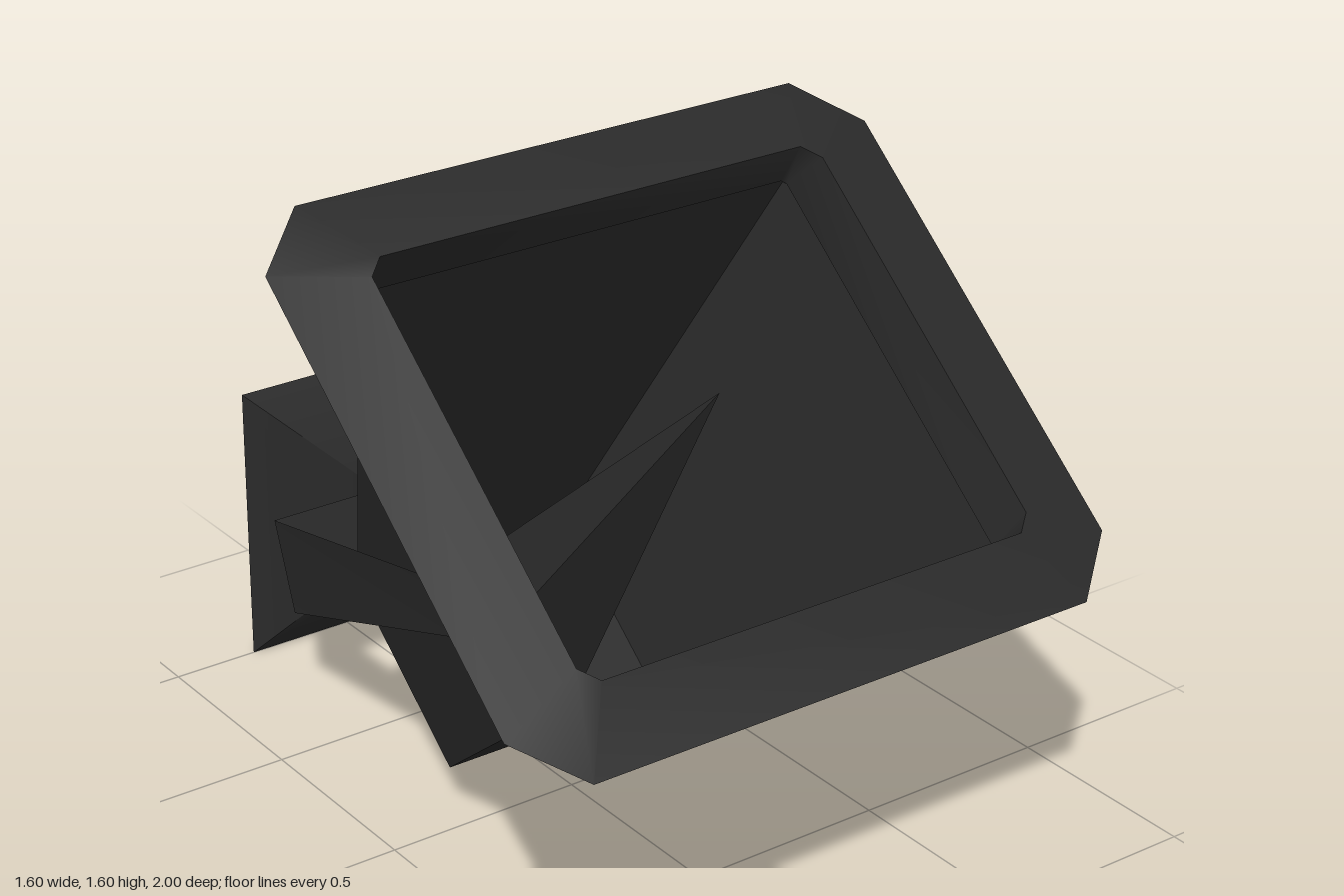
import * as THREE from 'three';
import { toCreasedNormals } from 'three/addons/utils/BufferGeometryUtils.js';

const black = new THREE.MeshStandardMaterial({ color: 0x2a2a2a, side: THREE.DoubleSide });
black.name = 'black metal';

// Skin a list of cross-sections; each is a list of [x, y, z] points.
function loft(name, rings, { closed = true, capStart = false, capEnd = false, crease = 0.6 } = {}) {
  const pos = [];
  const tri = (a, b, c) => pos.push(...a, ...b, ...c);
  const n = rings[0].length;
  for (let r = 0; r < rings.length - 1; r++) {
    const lo = rings[r], hi = rings[r + 1];
    for (let i = 0; i < (closed ? n : n - 1); i++) {
      const j = (i + 1) % n;
      tri(lo[i], hi[i], hi[j]);
      tri(lo[i], hi[j], lo[j]);
    }
  }
  const first = rings[0], last = rings[rings.length - 1];
  for (let i = 1; i < n - 1; i++) {
    if (capStart) tri(first[0], first[i], first[i + 1]);
    if (capEnd) tri(last[0], last[i + 1], last[i]);
  }
  const geo = new THREE.BufferGeometry();
  geo.setAttribute('position', new THREE.Float32BufferAttribute(pos, 3));
  const mesh = new THREE.Mesh(toCreasedNormals(geo, crease), black);
  mesh.name = name;
  return mesh;
}

// Rectangle with cut corners, lying at height y.
const octagon = (w, d, y, c) => [
  [w, y, -d + c], [w, y, d - c], [w - c, y, d], [-w + c, y, d],
  [-w, y, d - c], [-w, y, -d + c], [-w + c, y, -d], [w - c, y, -d],
];
const rectangle = (w, d, y) => [[w, y, -d], [w, y, d], [-w, y, d], [-w, y, -d]];
// Upright rectangle at depth z.
const upright = (x0, x1, y0, y1, z) => [[x0, y0, z], [x1, y0, z], [x1, y1, z], [x0, y1, z]];

export function createModel() {
  const model = new THREE.Group();
  model.name = 'wallFloodlight';

  // Tilted lamp head, built with its opening facing local +y
  const head = new THREE.Group();
  head.name = 'lampHead';
  head.position.set(0, 1.16, 0.465);
  head.rotation.x = 0.688;
  model.add(head);

  // Tapered housing, open at the front
  head.add(loft('housing', [rectangle(0.3, 0.25, -1.143), rectangle(0.575, 0.5, -0.075)], { capStart: true }));

  // Flared rim with cut corners and a raised inner lip
  head.add(loft('rim', [
    octagon(0.575, 0.5, -0.075, 0.01),
    octagon(0.8, 0.693, 0, 0.14),
    octagon(0.6, 0.51, 0.046, 0.04),
    octagon(0.57, 0.495, -0.075, 0.01),
  ], { crease: 0.85 }));

  // Pointed lamp in the middle of the housing
  const lampGeo = new THREE.ConeGeometry(0.21, 1.13, 4).toNonIndexed();
  lampGeo.computeVertexNormals();
  const lamp = new THREE.Mesh(lampGeo, black);
  lamp.name = 'lamp';
  lamp.position.set(0.02, -0.535, 0);
  lamp.rotation.set(0, 0.3, -0.05);
  head.add(lamp);

  // U-shaped bracket of flat strip
  const armEnd = (x) => [[x, 0.67, 0.28], [x, 0.76, 0.14]];
  const armBack = (x) => [[x, 0.26, -0.7], [x, 0.48, -0.78]];
  model.add(loft('bracket', [armEnd(-0.48), armBack(-0.33), armBack(0.41), armEnd(0.48)], { closed: false }));

  // Wedge neck joining bracket and wall mount
  model.add(loft('neck', [
    upright(-0.03, 0.15, 0.23, 0.48, -0.855),
    upright(-0.03, 0.15, 0.345, 0.37, -0.64),
  ], { capEnd: true }));

  // Wall mount
  model.add(loft('wallMount', [
    upright(-0.28, 0.395, 0, 0.72, -1),
    upright(-0.03, 0.15, 0.23, 0.48, -0.85),
  ], { capStart: true, capEnd: true }));

  return model;
}
